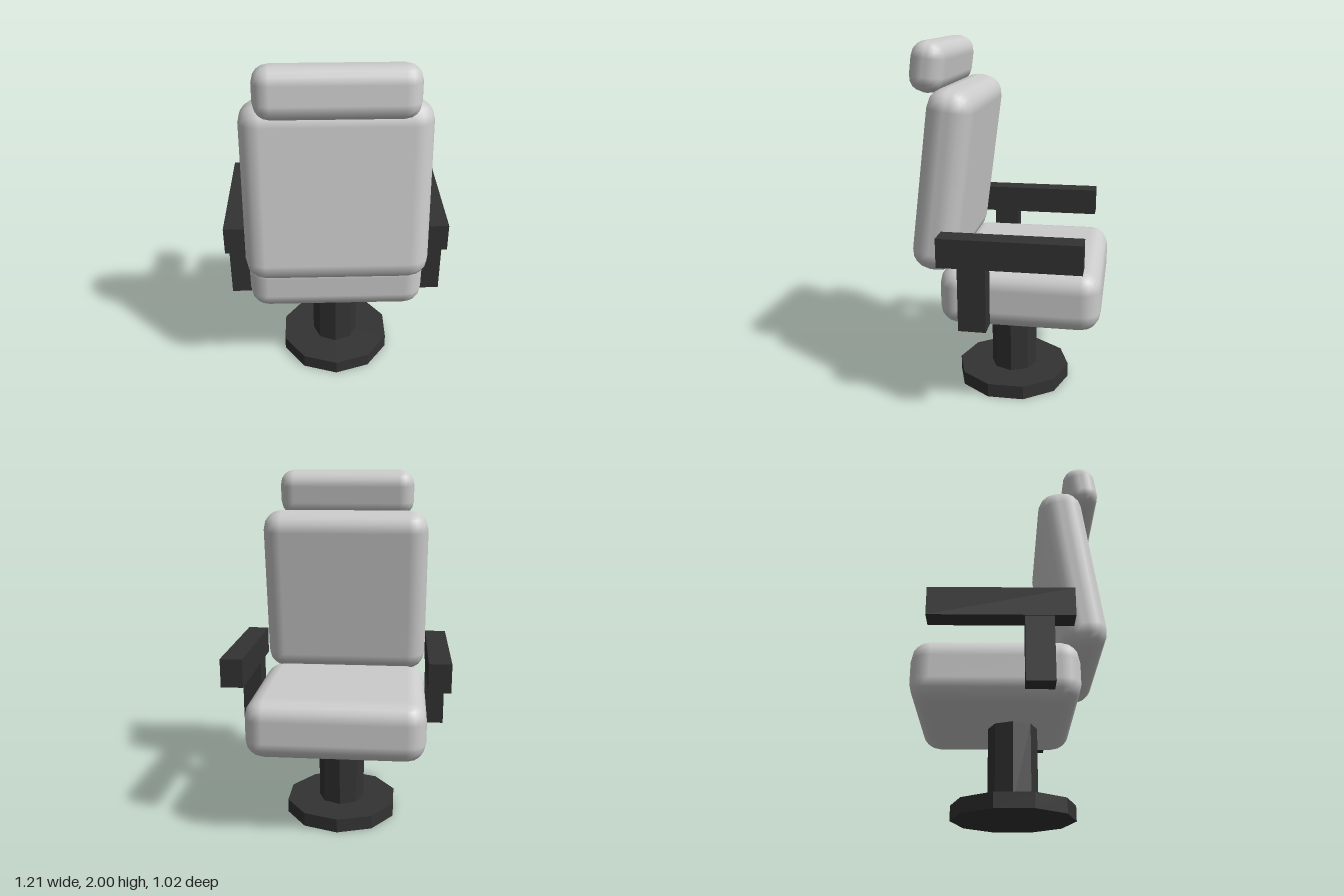
import * as THREE from 'three';
import { RoundedBoxGeometry } from 'three/addons/geometries/RoundedBoxGeometry.js';

export function createModel() {
  const chair = new THREE.Group();
  chair.name = 'chair';

  const padding = new THREE.MeshStandardMaterial({ color: 0xcccccc });
  padding.name = 'light grey padding';
  const frame = new THREE.MeshStandardMaterial({ color: 0x333333 });
  frame.name = 'dark grey frame';

  function add(name, geometry, material, x, y, z, tilt = 0) {
    const mesh = new THREE.Mesh(geometry, material);
    mesh.name = name;
    mesh.position.set(x, y, z);
    mesh.rotation.x = tilt;
    chair.add(mesh);
    return mesh;
  }
  // Faceted column with hard edges, standing on the floor
  const prism = (radius, height, sides) =>
    new THREE.CylinderGeometry(radius, radius, height, sides).toNonIndexed();
  const flat = (geometry) => {
    geometry.computeVertexNormals();
    return geometry;
  };

  // Cushions: the back and headrest share one tilt towards the seat
  const tilt = -0.132;
  add('seat', new RoundedBoxGeometry(0.975, 0.33, 0.87, 2, 0.105), padding, 0, 0.667, -0.075);
  add('backrest', new RoundedBoxGeometry(0.975, 0.978, 0.253, 2, 0.11), padding, 0, 1.284, 0.332, tilt);
  add('headrest', new RoundedBoxGeometry(0.8, 0.265, 0.188, 2, 0.085), padding, 0, 1.868, 0.411, tilt);

  // Pedestal
  add('base', flat(prism(0.33, 0.08, 10)), frame, 0, 0.04, 0.02);
  add('column', flat(prism(0.134, 0.43, 8)), frame, 0, 0.285, 0.018);

  // Arms, mirrored
  for (const [side, s] of [['left', 1], ['right', -1]]) {
    add(side + 'Armrest', new THREE.BoxGeometry(0.12, 0.155, 0.747), frame, s * 0.547, 0.967, -0.049);
    add(side + 'ArmPost', new THREE.BoxGeometry(0.11, 0.35, 0.147), frame, s * 0.544, 0.717, 0.144);
  }
  return chair;
}
